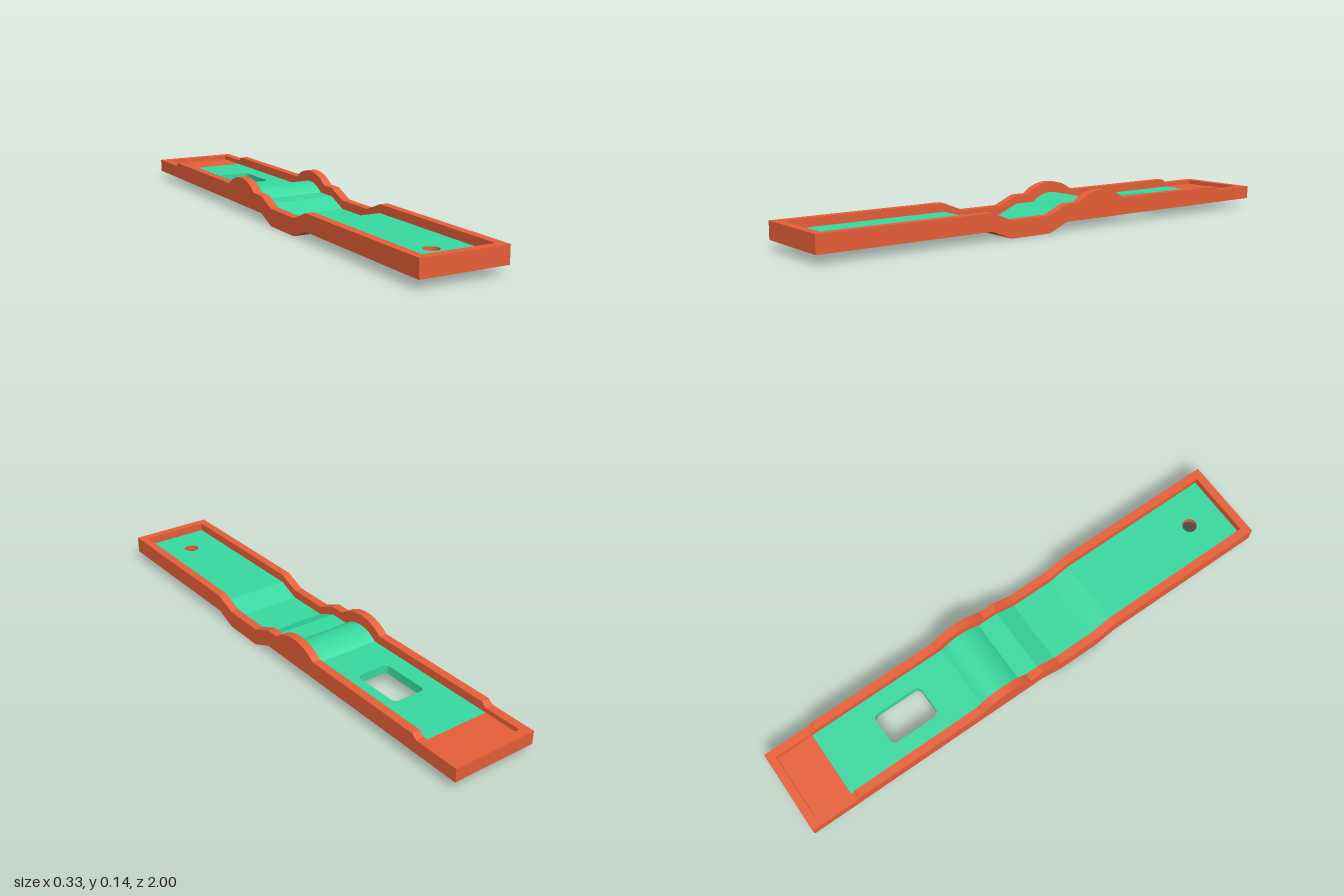
import * as THREE from 'three';
import { toCreasedNormals } from 'three/addons/utils/BufferGeometryUtils.js';

const ORANGE = 0xe85f38, GREEN = 0x38d9a0, DARK = 0x4a4644;
const HALF = 0.167, INNER = 0.135, LIP = 0.032;
const BASE = 0.035, FLOOR = 0.068, RIM = 0.1;

const material = (color) => new THREE.MeshStandardMaterial({ color, side: THREE.DoubleSide });

// Points [z, y] on the hump, an arc around one shared centre, from front to back
function hump(radius, level, steps = 28) {
  const cz = -0.167, cy = -0.031;
  const a = Math.acos((level - cy) / radius);
  return Array.from({ length: steps + 1 }, (_, i) => {
    const t = a - (2 * a * i) / steps;
    return [cz + radius * Math.sin(t), cy + radius * Math.cos(t)];
  });
}

// The dip shared by rim, floor and underside, at a given level
const dip = (y) => [[0.335, y], [0.25, y - 0.034], [0.08, y - 0.034], [0, y]];

// Surface between two matching rows of points
function ribbon(a, b) {
  const pos = [], index = [];
  a.forEach((p, i) => {
    pos.push(...p, ...b[i]);
    if (i) index.push(2 * i - 2, 2 * i - 1, 2 * i, 2 * i - 1, 2 * i + 1, 2 * i);
  });
  const g = new THREE.BufferGeometry();
  g.setAttribute('position', new THREE.Float32BufferAttribute(pos, 3));
  g.setIndex(index);
  return toCreasedNormals(g, 0.25);
}

// Strip across the inner width following a side profile, facing up when it runs front to back
const strip = (profile) => ribbon(
  profile.map(([z, y]) => [-INNER, y, z]),
  profile.map(([z, y]) => [INNER, y, z]));

// Flat sheet across the inner width with one hole
function sheet(z0, z1, y, hole) {
  const s = new THREE.Shape([
    new THREE.Vector2(-INNER, -z0), new THREE.Vector2(INNER, -z0),
    new THREE.Vector2(INNER, -z1), new THREE.Vector2(-INNER, -z1)]);
  s.holes.push(hole);
  return new THREE.ShapeGeometry(s, 24).rotateX(-Math.PI / 2).translate(0, y, 0);
}

// Rounded window outline, drawn with y = -z
function windowPath() {
  const w = 0.066, b = 0.4, t = 0.6, r = 0.02, q = Math.PI / 2;
  return new THREE.Path()
    .absarc(w - r, b + r, r, -q, 0)
    .absarc(w - r, t - r, r, 0, q)
    .absarc(-w + r, t - r, r, q, 2 * q)
    .absarc(-w + r, b + r, r, 2 * q, 3 * q)
    .closePath();
}

export function createModel() {
  const model = new THREE.Group();
  const add = (name, geometry, color) => {
    const mesh = new THREE.Mesh(geometry, material(color));
    mesh.name = name;
    model.add(mesh);
    return mesh;
  };

  // Side rails with the dip, the hump and the lower back end
  const outline = [
    [1, RIM], ...dip(RIM), ...hump(0.171, RIM),
    [-0.8, RIM], [-0.807, 0.092], [-0.82, 0.085], [-1, 0.085],
    [-1, BASE], ...dip(BASE).reverse(), [1, BASE],
  ].map(([z, y]) => new THREE.Vector2(z, y));
  const rail = toCreasedNormals(
    new THREE.ExtrudeGeometry(new THREE.Shape(outline), { depth: LIP, bevelEnabled: false }), 0.25)
    .rotateY(-Math.PI / 2);
  add('leftRail', rail.clone().translate(HALF, 0, 0), ORANGE);
  add('rightRail', rail.clone().translate(-INNER, 0, 0), ORANGE);

  // End walls
  for (const [name, z, top] of [['frontWall', 1 - LIP / 2, RIM], ['backWall', -1 + LIP / 2, 0.085]]) {
    add(name, new THREE.BoxGeometry(2 * INNER, top - BASE, LIP), ORANGE)
      .position.set(0, (top + BASE) / 2, z);
  }

  // Floor: front plate with a round hole, shaped middle, window plate, bare back end
  const dot = new THREE.Path().absarc(0, -0.83, 0.028, 0, Math.PI * 2);
  add('frontFloor', sheet(0.968, 0.335, FLOOR, dot), GREEN);
  add('middleFloor', strip([...dip(FLOOR), ...hump(0.13, FLOOR), [-0.3, FLOOR]]), GREEN);
  add('windowFloor', sheet(-0.3, -0.82, FLOOR, windowPath()), GREEN);
  add('backFloor', strip([[-0.82, FLOOR], [-0.968, FLOOR]]), ORANGE);

  // Window walls
  const loop = windowPath().getPoints(8);
  loop.push(loop[0].clone());
  add('windowWalls', ribbon(
    loop.map((p) => [p.x, FLOOR, -p.y]),
    loop.map((p) => [p.x, BASE, -p.y])), GREEN);

  // Blind round hole
  add('pocketWall', new THREE.CylinderGeometry(0.028, 0.028, 0.024, 32, 1, true), ORANGE)
    .position.set(0, FLOOR - 0.012, 0.83);
  add('pocketBottom', new THREE.CircleGeometry(0.028, 32).rotateX(-Math.PI / 2), DARK)
    .position.set(0, FLOOR - 0.024, 0.83);

  // Underside, running back to front so it faces down
  add('frontUnderside', strip([[-0.3, BASE], ...dip(BASE).reverse(), [0.968, BASE]]), ORANGE);
  add('windowUnderside', sheet(-0.3, -0.82, BASE, windowPath()), ORANGE);
  add('backUnderside', strip([[-0.968, BASE], [-0.82, BASE]]), ORANGE);

  return model;
}
